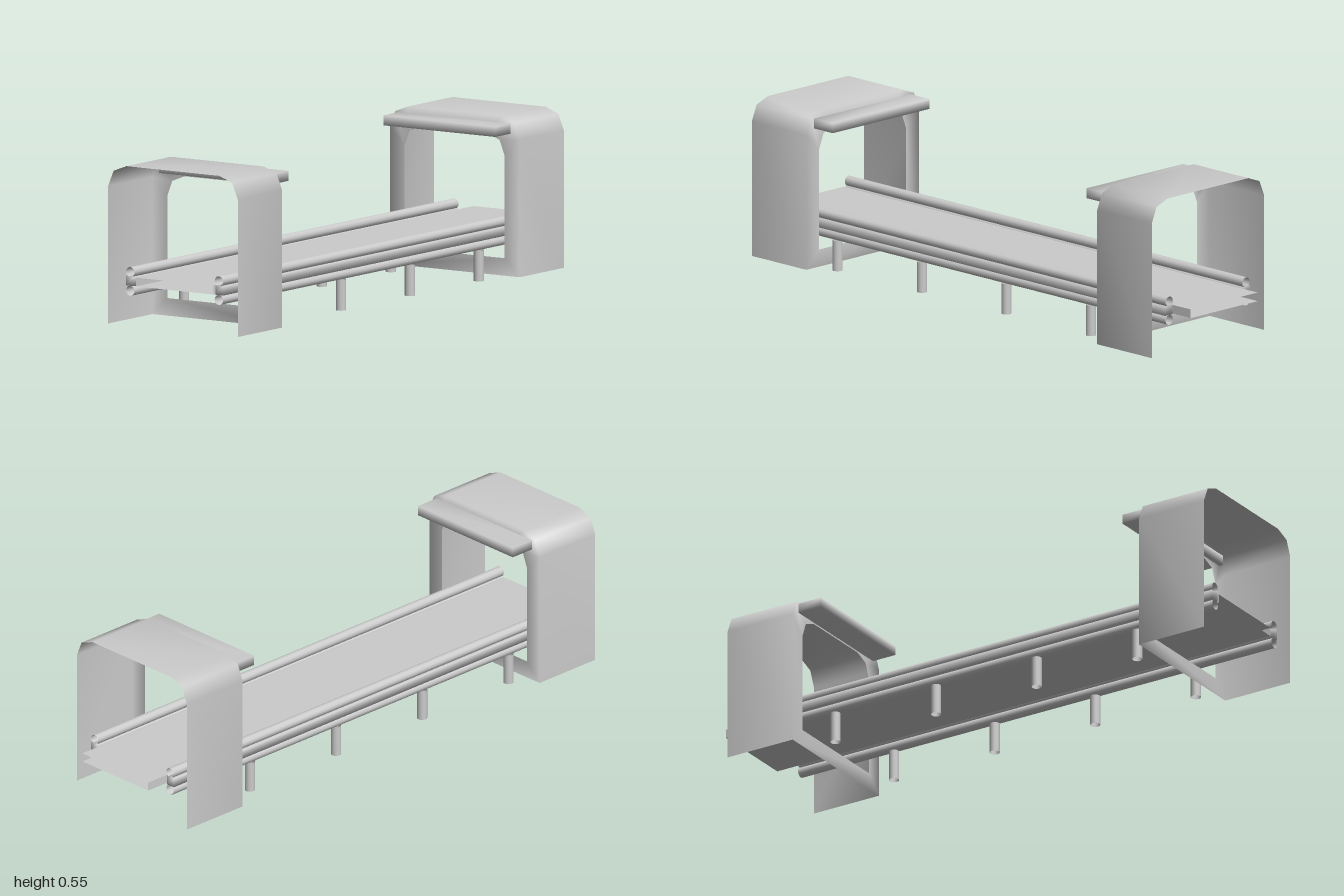
import * as THREE from 'three';
import { mergeVertices } from 'three/addons/utils/BufferGeometryUtils.js';

const mat = new THREE.MeshStandardMaterial({ color: 0xcccccc, side: THREE.DoubleSide });

function add(parent, name, geo, x = 0, y = 0, z = 0) {
  const mesh = new THREE.Mesh(geo, mat);
  mesh.name = name;
  mesh.position.set(x, y, z);
  parent.add(mesh);
  return mesh;
}

// Box with shared corners, so the shading runs softly across its edges
function softBox(w, h, d) {
  const box = new THREE.BoxGeometry(w, h, d);
  box.deleteAttribute('normal');
  box.deleteAttribute('uv');
  const geo = mergeVertices(box);
  geo.computeVertexNormals();
  return geo;
}

// Mirrors the right half of an arch (bottom to top) into a closed loop
const mirrored = (half) => [...half, ...half.map(([x, y]) => [-x, y]).reverse()];

// Thin hood: a plate with an opening at z = 0 and an arched shell running out
// from its rim, open at the end and underneath
function hoodGeometry(depth) {
  const outer = mirrored([[0.268, 0.005], [0.268, 0.475], [0.245, 0.53], [0.192, 0.55]]);
  const inner = mirrored([[0.207, 0.065], [0.207, 0.415], [0.186, 0.468], [0.135, 0.488]]);
  const n = outer.length;
  const pos = [], index = [];
  for (const [loop, z] of [[inner, 0], [outer, 0], [outer, depth]]) {
    for (const [x, y] of loop) pos.push(x, y, z);
  }
  const quad = (a, b, i) => {
    const j = (i + 1) % n;
    index.push(a + i, a + j, b + j, a + i, b + j, b + i);
  };
  for (let i = 0; i < n; i++) quad(0, n, i);
  for (let i = 0; i < n - 1; i++) quad(n, 2 * n, i);
  const geo = new THREE.BufferGeometry();
  geo.setAttribute('position', new THREE.Float32BufferAttribute(pos, 3));
  geo.setIndex(index);
  geo.computeVertexNormals();
  return geo;
}

export function createModel() {
  const model = new THREE.Group();
  model.name = 'conveyor';

  // Hoods at both ends, each with a bar set through the top of its plate
  for (const [name, z, turn] of [['frontHood', 0.738, 0], ['backHood', -0.66, Math.PI]]) {
    const hood = new THREE.Group();
    hood.name = name;
    add(hood, 'hoodShell', hoodGeometry(0.262));
    add(hood, 'hoodBar', softBox(0.462, 0.034, 0.105), 0, 0.51, -0.0375);
    hood.position.z = z;
    hood.rotation.y = turn;
    model.add(hood);
  }

  // Belt: flat slab with open ends
  const belt = new THREE.BoxGeometry(0.32, 0.03, 1.99);
  belt.setIndex([...belt.index.array].slice(0, 24));
  belt.clearGroups();
  add(model, 'belt', belt, 0, 0.155, -0.005);

  // Side rails: a square beam between two open tubes, standing on legs
  const railLength = 1.91, railZ = 0.035;
  const tube = new THREE.CylinderGeometry(0.0175, 0.0175, railLength, 12, 1, true).rotateX(Math.PI / 2);
  const leg = new THREE.CylinderGeometry(0.0175, 0.0175, 0.106, 12, 1, true);
  for (const side of [1, -1]) {
    const rail = new THREE.Group();
    rail.name = side > 0 ? 'leftRail' : 'rightRail';
    add(rail, 'railBeam', softBox(0.034, 0.032, railLength), side * 0.185, 0.156, railZ);
    add(rail, 'upperTube', tube, side * 0.183, 0.187, railZ);
    add(rail, 'lowerTube', tube, side * 0.183, 0.123, railZ);
    for (let i = 0; i < 4; i++) add(rail, 'leg', leg, side * 0.182, 0.053, 0.675 - i * 0.406);
    model.add(rail);
  }
  return model;
}
